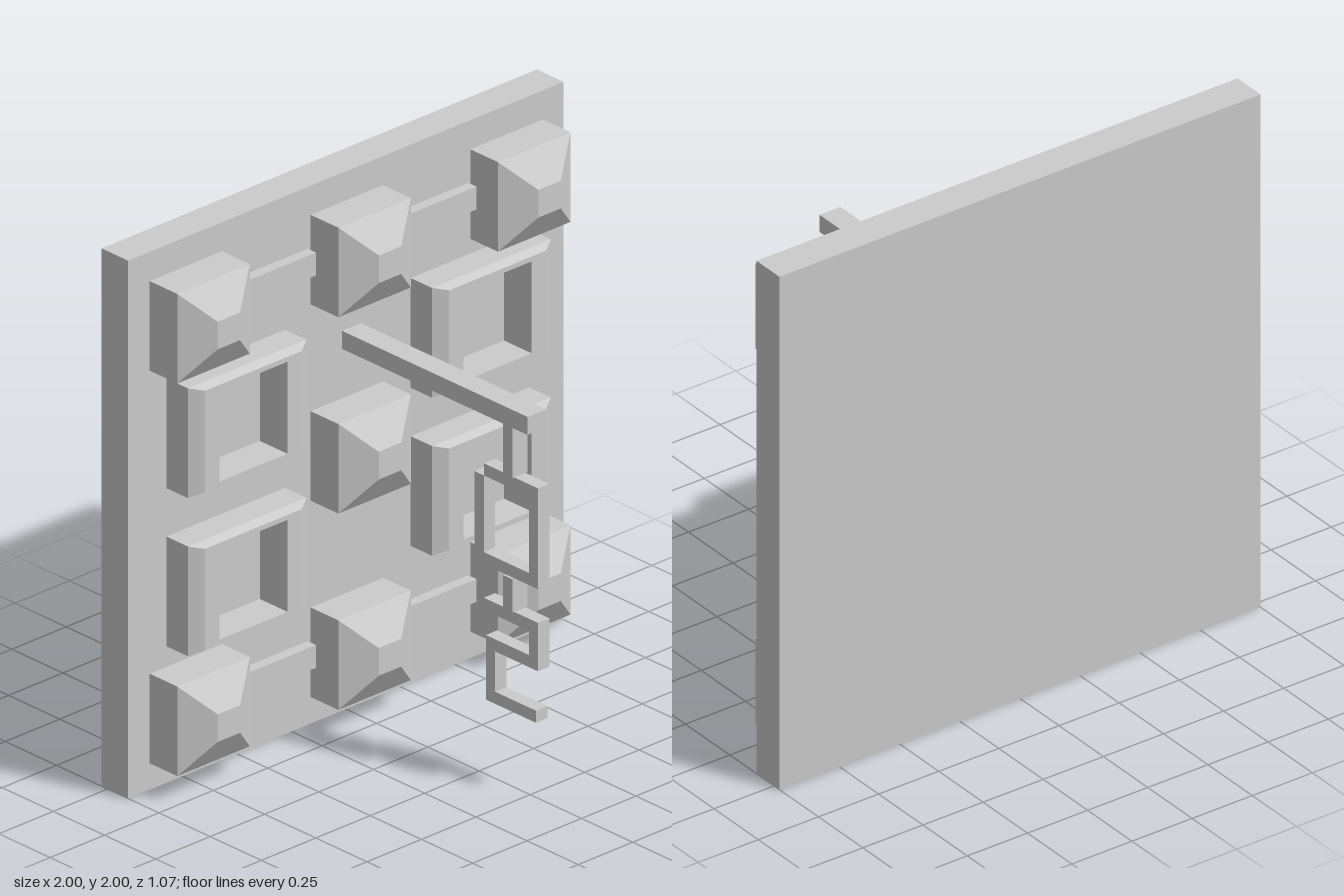
import * as THREE from 'three';

const material = new THREE.MeshStandardMaterial({ color: 0xcccccc, flatShading: true });
const FACE = -0.4; // front plane of the wall panel

// Box given by its min/max on each axis
function block(name, [x0, x1], [y0, y1], [z0, z1]) {
  const mesh = new THREE.Mesh(new THREE.BoxGeometry(x1 - x0, y1 - y0, z1 - z0), material);
  mesh.position.set((x0 + x1) / 2, (y0 + y1) / 2, (z0 + z1) / 2);
  mesh.name = name;
  return mesh;
}

function rect(Type, w, h) {
  const p = new Type();
  p.moveTo(-w / 2, -h / 2);
  p.lineTo(w / 2, -h / 2);
  p.lineTo(w / 2, h / 2);
  p.lineTo(-w / 2, h / 2);
  p.closePath();
  return p;
}

// Straight walls up to z = mid, then the outer edge slopes inward to z = depth
function chamferedBlock(w, h, mid, depth, insetX, insetY, hole) {
  const shape = rect(THREE.Shape, w, h);
  if (hole) shape.holes.push(rect(THREE.Path, hole[0], hole[1]));
  const geo = new THREE.ExtrudeGeometry(shape, { depth, steps: 2, bevelEnabled: false });
  const p = geo.attributes.position;
  for (let i = 0; i < p.count; i++) {
    const x = p.getX(i), y = p.getY(i), z = p.getZ(i);
    const outer = Math.abs(Math.abs(x) - w / 2) < 1e-4;
    if (Math.abs(z - depth / 2) < 1e-4) p.setZ(i, mid);
    else if (z > depth / 2 && outer) {
      p.setXY(i, x - Math.sign(x) * insetX, y - Math.sign(y) * insetY);
    }
  }
  geo.computeVertexNormals();
  return geo;
}

export function createModel() {
  const model = new THREE.Group();
  model.name = 'wallPanelWithHanger';

  // Wall panel
  model.add(block('panel', [-1, 1], [0, 2], [-0.53, FACE]));

  // Pyramid studs: three on top, three at the bottom, one in the middle
  const studGeo = chamferedBlock(0.333, 0.333, 0.135, 0.21, 0.115, 0.115);
  const studs = [[0.005, 0.995]];
  for (const y of [1.725, 0.265]) for (const x of [-0.735, 0.005, 0.738]) studs.push([x, y]);
  for (const [x, y] of studs) {
    const stud = new THREE.Mesh(studGeo, material);
    stud.name = 'stud';
    stud.position.set(x, y, FACE);
    model.add(stud);
  }

  // Flat bars between the studs
  for (const y of [1.685, 0.226]) {
    for (const x of [[-0.56, -0.175], [0.18, 0.562]]) {
      model.add(block('connectingBar', x, [y, y + 0.085], [FACE, -0.36]));
    }
  }

  // Square frames with chamfered rims
  const frameGeo = chamferedBlock(0.545, 0.408, 0.105, 0.135, 0.05, 0.015, [0.313, 0.342]);
  for (const x of [-0.552, 0.57]) {
    for (const y of [1.3, 0.712]) {
      const frame = new THREE.Mesh(frameGeo, material);
      frame.name = 'frame';
      frame.position.set(x, y, FACE);
      model.add(frame);
    }
  }

  // Arm and hanging stems
  const hanger = new THREE.Group();
  hanger.name = 'hanger';
  model.add(hanger);
  hanger.add(block('arm', [-0.017, 0.07], [1.345, 1.412], [FACE, 0.505]));
  const stemX = [-0.007, 0.063], stemZ = [0.375, 0.42];
  hanger.add(block('upperStem', stemX, [1.15, 1.345], stemZ));
  hanger.add(block('lowerStem', stemX, [0.65, 0.775], stemZ));

  // Ring and S-shaped hook, made of thin bars: [name, y range, z range]
  const bars = [
    ['ringTop', [1.105, 1.15], [0.27, 0.535]],
    ['ringFront', [0.82, 1.105], [0.49, 0.535]],
    ['ringBottom', [0.775, 0.82], [0.27, 0.535]],
    ['ringBack', [0.8, 1.105], [0.225, 0.27]],
    ['hookTop', [0.605, 0.65], [0.27, 0.535]],
    ['hookFront', [0.515, 0.605], [0.49, 0.535]],
    ['hookMiddle', [0.47, 0.515], [0.28, 0.535]],
    ['hookBack', [0.32, 0.47], [0.28, 0.325]],
    ['hookBottom', [0.275, 0.32], [0.28, 0.525]],
  ];
  for (const [name, y, z] of bars) hanger.add(block(name, [0.003, 0.055], y, z));

  return model;
}
